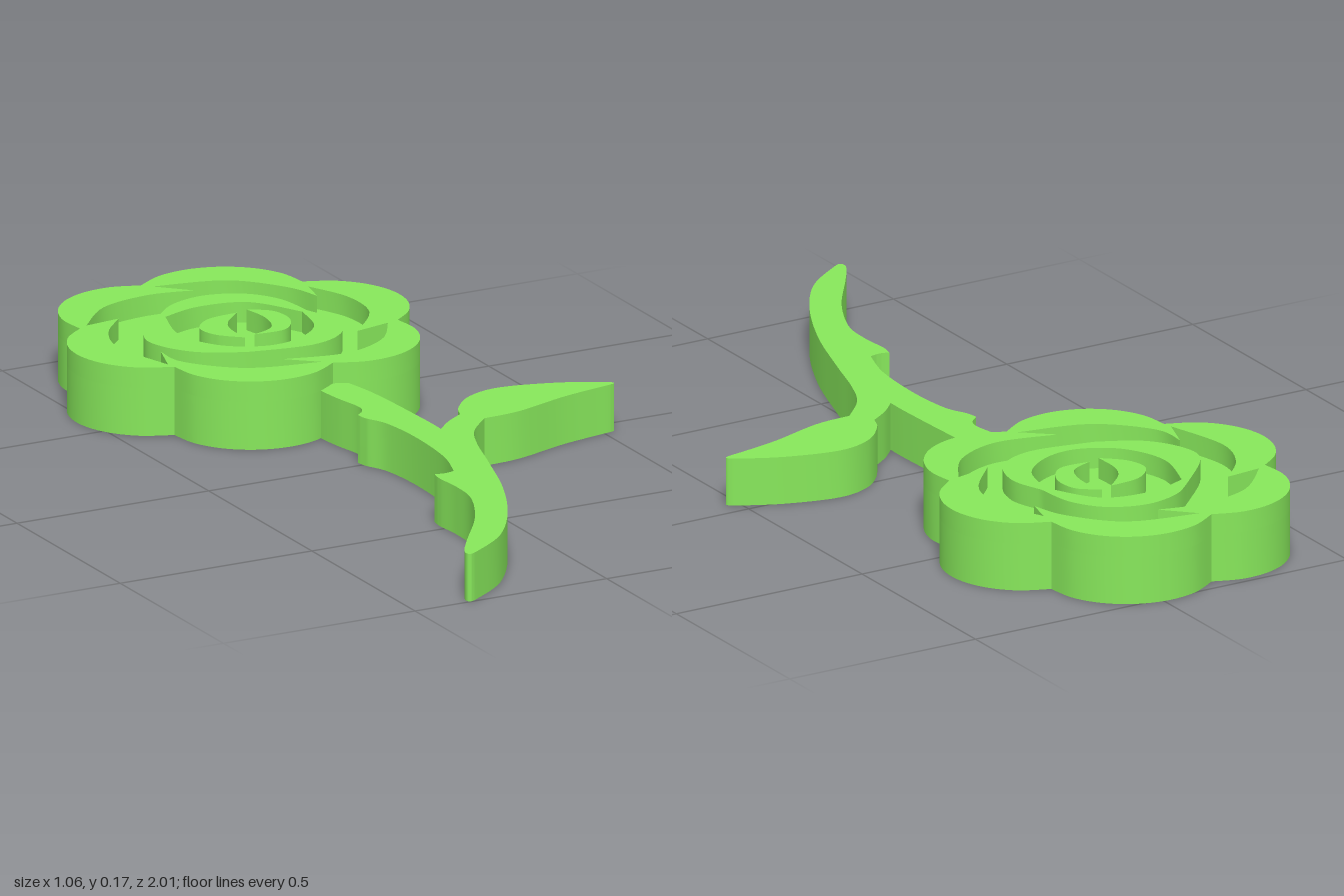
import * as THREE from 'three';
import { toCreasedNormals } from 'three/addons/utils/BufferGeometryUtils.js';

const BASE = 0.115; // height of stem, leaf and groove floors
const TOP = 0.165;  // height of the petals
const green = new THREE.MeshStandardMaterial({ color: 0x87e75b });

// Closed outline, clockwise from above, of smooth runs that meet at sharp
// corners. Each run is a list of [x, z] in hundredths of a unit.
function outline(runs) {
  const points = [];
  for (const run of runs) {
    const pts = run.map(([x, z]) => new THREE.Vector2(x / 100, -z / 100));
    const smooth = pts.length > 2
      ? new THREE.SplineCurve(pts).getPoints((pts.length - 1) * 6)
      : pts;
    points.push(...smooth.slice(0, -1)); // the end is the next run's start
  }
  return points;
}

// Run of points that swings round a centre from one point to another
function arcRun([cx, cz], [x0, z0], [x1, z1]) {
  const start = Math.atan2(z0 - cz, x0 - cx);
  let sweep = Math.atan2(z1 - cz, x1 - cx) - start;
  if (sweep < 0) sweep += Math.PI * 2;
  const r0 = Math.hypot(x0 - cx, z0 - cz);
  const r1 = Math.hypot(x1 - cx, z1 - cz);
  return Array.from({ length: 7 }, (_, i) => {
    const a = start + sweep * i / 6;
    const r = THREE.MathUtils.lerp(r0, r1, i / 6);
    return [cx + r * Math.cos(a), cz + r * Math.sin(a)];
  });
}

// Upright slab over an outline, with optional holes wound the other way
function slab(name, contour, bottom, top, holes = []) {
  const shape = new THREE.Shape(contour);
  shape.holes = holes.map((h) => new THREE.Path([...h].reverse()));
  const extruded = new THREE.ExtrudeGeometry(shape, { depth: top - bottom, bevelEnabled: false });
  extruded.rotateX(-Math.PI / 2);
  extruded.translate(0, bottom, 0);
  const mesh = new THREE.Mesh(toCreasedNormals(extruded, 0.5), green);
  mesh.name = name;
  return mesh;
}

// Six round outer petals: the centre of each, and the notch where it starts
const petals = [
  { centre: [-1, -80.7], notch: [-16, -96] },
  { centre: [14.2, -61.3], notch: [18, -81] },
  { centre: [6.5, -41.3], notch: [24, -45.8] },
  { centre: [-18.6, -39.6], notch: [-4, -25.2] },
  { centre: [-34.2, -59.8], notch: [-37.5, -39.8] },
  { centre: [-25.4, -79.4], notch: [-43.3, -74.8] },
];
const petalEdge = outline(petals.map(({ centre, notch }, i) =>
  arcRun(centre, notch, petals[(i + 1) % petals.length].notch)));

// Inner edge of the petals: each curve ends in a hooked tip
const petalInside = outline([
  [[-41, -76], [-31, -86], [-18, -89], [-7, -87]],
  [[-7, -87], [-14, -94]],
  [[-14, -94], [3, -90], [13, -79], [16, -70]],
  [[16, -70], [17.5, -77]],
  [[17.5, -77], [22, -66], [21, -54], [12, -43]],
  [[12, -43], [21, -45]],
  [[21, -45], [14, -35], [2, -30], [-13, -33]],
  [[-13, -33], [-6, -27]],
  [[-6, -27], [-23, -31], [-34, -42], [-35, -51]],
  [[-35, -51], [-38, -42]],
  [[-38, -42], [-42, -58], [-39, -69], [-32, -77]],
  [[-32, -77], [-41, -76]],
]);

// Three inner petals that narrow where they meet
const budEdge = outline([
  [[-22.5, -75], [-16, -80.5], [-7, -82.7], [2, -79.5], [7.5, -72], [9, -62]],
  [[9, -62], [11.5, -53], [8, -43.5], [-2, -39], [-18, -41.5]],
  [[-18, -41.5], [-28, -47], [-33.5, -56], [-32.5, -64], [-22.5, -75]],
]);
const budInside = outline([
  [[-22, -73], [-12, -76], [0, -73.5], [7.5, -61.5]],
  [[7.5, -61.5], [5, -51], [-3, -44.5], [-12, -43.5], [-21, -49], [-25.3, -60], [-22, -73]],
]);

// Two crescents curled around the heart
const leftCrescent = outline([
  [[-13, -51], [-18, -56], [-19, -62], [-14, -67], [-6, -68]],
  [[-6, -68], [-11, -63], [-13, -58], [-13, -51]],
]);
const rightCrescent = outline([
  [[-3, -69], [2, -65], [2.5, -58], [-2, -52], [-10, -52]],
  [[-10, -52], [-4, -55], [-2, -62], [-3, -69]],
]);

// Stem with two thorns and a side leaf
const stemEdge = outline([
  [[2, 16], [2, 8], [1, -13], [-1, -25], [-3, -32]].reverse(),
  [[2, 16], [6, 12], [11, 8.5]],
  [[11, 8.5], [13, 4], [19, -2], [28, -4.5], [41, -1.5], [51, 3.2], [53, 5],
    [51.5, 5.8], [46, 6.8], [37, 8.8], [24, 13], [14.5, 13.8]],
  [[14.5, 13.8], [8, 21], [4, 30], [0, 43], [-6, 61], [-14, 78], [-23, 91], [-33, 98.7],
    [-35.7, 99.7], [-35.5, 97], [-31, 90], [-22, 77], [-16, 64], [-15, 55], [-15.5, 48], [-15, 44.5]],
  [[-15, 44.5], [-12.5, 45], [-10, 44.5]],
  [[-10, 44.5], [-7, 34], [-6, 19], [-7, 7], [-9.5, 1], [-10, -2]],
  [[-10, -2], [-7.5, -4.5], [-7, -8], [-8.3, -15], [-9, -22], [-9, -30]],
  [[-9, -30], [-3, -32]],
]);

export function createModel() {
  const model = new THREE.Group();
  model.name = 'rose';

  const bloom = new THREE.Group();
  bloom.name = 'bloom';
  bloom.add(
    slab('bloomBase', petalEdge, 0, BASE),
    slab('outerPetals', petalEdge, BASE, TOP, [petalInside]),
    slab('innerPetals', budEdge, BASE, TOP, [budInside]),
    slab('leftHeartPetal', leftCrescent, BASE, TOP),
    slab('rightHeartPetal', rightCrescent, BASE, TOP),
  );

  model.add(bloom, slab('stemAndLeaf', stemEdge, 0, BASE));
  return model;
}
